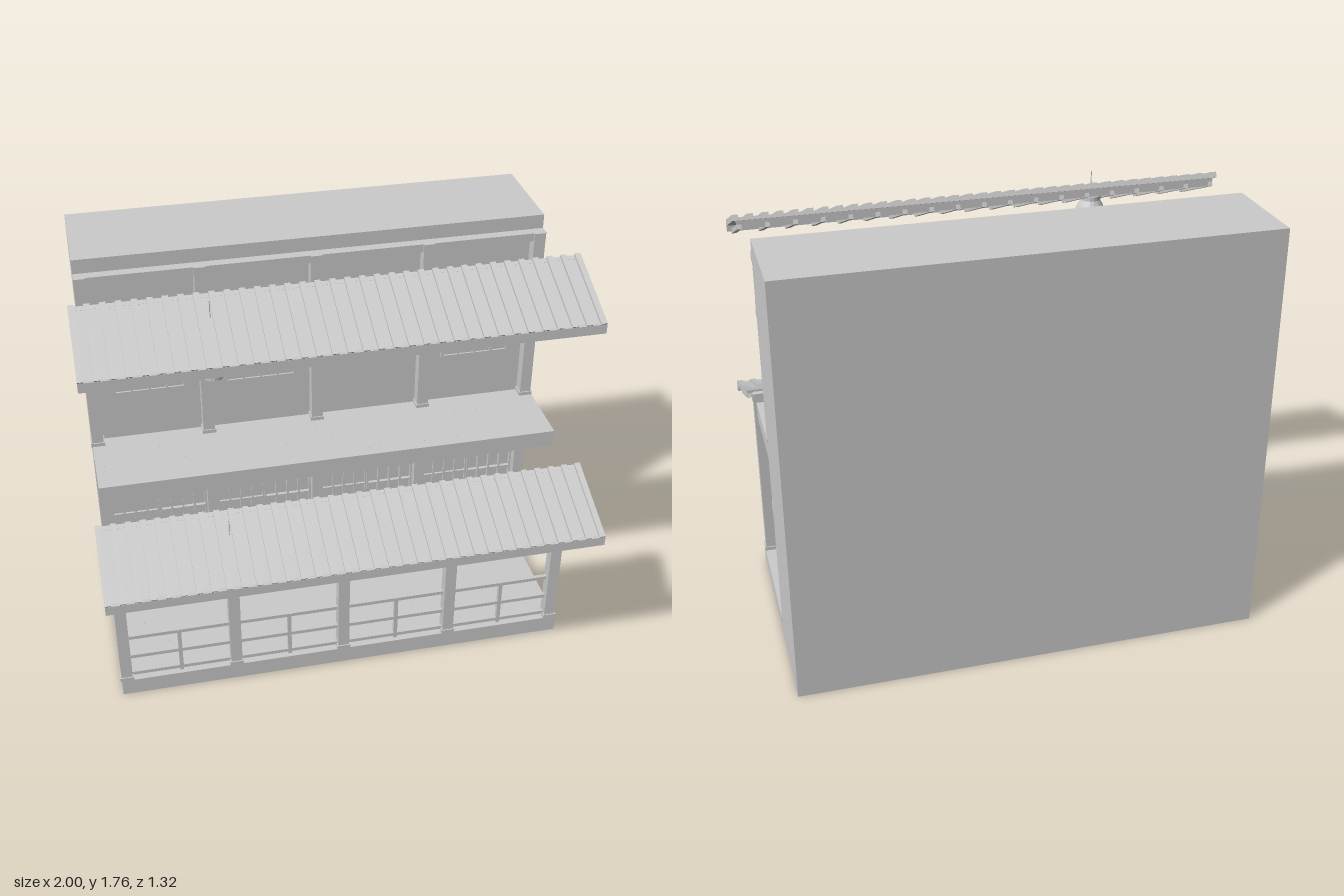
import * as THREE from 'three';
import { mergeGeometries } from 'three/addons/utils/BufferGeometryUtils.js';

const mat = new THREE.MeshStandardMaterial({ color: 0xcccccc, flatShading: true });

// Box given by its extents on each axis
function box(x0, x1, y0, y1, z0, z1) {
  return new THREE.BoxGeometry(x1 - x0, y1 - y0, z1 - z0)
    .translate((x0 + x1) / 2, (y0 + y1) / 2, (z0 + z1) / 2);
}

function part(parent, name, geos) {
  const mesh = new THREE.Mesh(mergeGeometries(geos), mat);
  mesh.name = name;
  parent.add(mesh);
  return mesh;
}

const HALF = 0.965, WALL = -0.24;
const POSTS = [-0.942, -0.472, -0.003, 0.466, 0.937];
const BAYS = [0, 1, 2, 3].map(i => [POSTS[i] + 0.025, POSTS[i + 1] - 0.025]);

// Grid of thin bars inside a rectangle on the wall
function lattice(x0, x1, y0, y1, cols, rows, t, depth) {
  const out = [];
  for (let i = 0; i <= cols; i++) {
    const x = x0 + t / 2 + (x1 - x0 - t) * i / cols;
    out.push(box(x - t / 2, x + t / 2, y0, y1, WALL, WALL + depth));
  }
  for (let j = 0; j <= rows; j++) {
    const y = y0 + t / 2 + (y1 - y0 - t) * j / rows;
    out.push(box(x0, x1, y - t / 2, y + t / 2, WALL, WALL + depth * 0.95));
  }
  return out;
}

// Pillars with a wider foot block
function pillars(y0, y1, z0, z1) {
  return POSTS.flatMap(x => [
    box(x - 0.024, x + 0.024, y0, y1, z0, z1),
    box(x - 0.029, x + 0.029, y0 - 0.002, y0 + 0.016, z0 - 0.005, z1 + 0.005),
  ]);
}

// Tiled awning; origin is the middle of the tile surface
function awning(name, y, z) {
  const roof = new THREE.Group();
  roof.name = name;
  roof.position.set(0, y, z);
  const slope = new THREE.Group();
  slope.name = 'slope';
  slope.rotation.x = Math.atan2(0.135, 0.33);
  roof.add(slope);
  const L = 0.178;
  part(slope, 'roofDeck', [box(-1, 1, -0.024, -0.011, -L, L)]);
  const ribs = [];
  for (let i = 0; i < 35; i++) {
    const x = -0.988 + 1.976 * i / 34;
    ribs.push(box(x - 0.012, x + 0.012, -0.012, 0, -L, L));
  }
  part(slope, 'tileRibs', ribs);
  const rafters = [];
  for (let i = 0; i < 19; i++) {
    const x = -0.975 + 1.95 * i / 18;
    rafters.push(box(x - 0.009, x + 0.009, -0.057, -0.038, -0.165, 0.155));
  }
  part(slope, 'rafters', rafters);
  part(roof, 'fascia', [box(-1, 1, -0.112, -0.072, 0.148, 0.164)]);
  part(roof, 'backBeam', [box(-0.985, 0.985, 0.008, 0.05, -0.166, -0.15)]);
  return roof;
}

// Faceted paper lantern; origin is its lower end
function lantern(name, y, z) {
  const g = new THREE.Group();
  g.name = name;
  g.position.set(-0.487, y, z);
  const profile = [[0, 0.018], [0.04, 0.022]];
  for (let i = 1; i < 8; i++) {
    const a = -1 + 2 * i / 8;
    profile.push([0.037 + 0.034 * (1 - a * a), 0.115 + a * 0.09]);
  }
  profile.push([0.038, 0.207], [0, 0.21]);
  part(g, 'paperShade', [new THREE.LatheGeometry(profile.map(p => new THREE.Vector2(...p)), 16)]);
  part(g, 'endRings', [
    new THREE.CylinderGeometry(0.042, 0.042, 0.022, 16).translate(0, 0.011, 0),
    new THREE.CylinderGeometry(0.041, 0.041, 0.018, 16).translate(0, 0.214, 0),
  ]);
  part(g, 'hangingCord', [new THREE.CylinderGeometry(0.002, 0.002, 0.11, 6).translate(0, 0.268, 0)]);
  return g;
}

// Rows of small nail heads on a floor
function nails(y, z0, z1, rows) {
  const out = [];
  for (let r = 0; r < rows; r++)
    for (let i = 0; i < 40; i++) {
      const x = -0.93 + 1.86 * i / 39, z = z0 + (z1 - z0) * r / (rows - 1);
      out.push(box(x - 0.002, x + 0.002, y, y + 0.001, z - 0.002, z + 0.002));
    }
  return out;
}

export function createModel() {
  const house = new THREE.Group();
  house.name = 'townhouse';

  // Main masses
  part(house, 'building', [box(-HALF, HALF, 0, 1.76, -0.66, WALL)]);
  part(house, 'porchFloor', [box(-HALF, HALF, 0, 0.075, WALL, 0.352)]);
  part(house, 'balconyFloor', [box(-HALF, HALF, 0.845, 0.917, WALL, 0.112)]);
  part(house, 'porchNails', nails(0.075, -0.12, 0.27, 4));
  part(house, 'balconyNails', nails(0.917, -0.13, 0.06, 3));

  // Pillars and horizontal beams
  part(house, 'lowerWallPosts', pillars(0.075, 0.845, WALL, -0.19));
  part(house, 'upperWallPosts', pillars(0.917, 1.7, WALL, -0.19));
  part(house, 'porchPosts', pillars(0.075, 0.862, 0.3, 0.348));
  part(house, 'porchBeam', [box(-HALF, HALF, 0.825, 0.858, 0.308, 0.34)]);
  part(house, 'wallBeams', [
    box(-HALF, HALF, 0.6, 0.632, WALL, -0.21),
    box(-HALF, HALF, 1.445, 1.477, WALL, -0.21),
    box(-HALF, HALF, 1.49, 1.52, WALL, -0.222),
    box(-HALF, HALF, 1.665, 1.7, WALL, -0.198),
  ]);

  // Porch railing, one section per bay
  const rail = [];
  for (const [a, b] of BAYS) {
    const c = (a + b) / 2;
    for (const y of [0.093, 0.188, 0.293]) rail.push(box(a, b, y - 0.008, y + 0.008, 0.316, 0.332));
    rail.push(box(c - 0.008, c + 0.008, 0.075, 0.3, 0.315, 0.333));
  }
  part(house, 'porchRailing', rail);

  // Sliding doors and slatted transoms on the lower floor
  BAYS.forEach(([a, b]) => {
    const c = (a + b) / 2;
    part(house, 'slidingDoors', [
      ...lattice(a, c, 0.075, 0.6, 4, 6, 0.008, 0.01),
      ...lattice(c, b, 0.075, 0.6, 4, 6, 0.008, 0.016),
    ]);
    part(house, 'transomSlats', lattice(a, b, 0.632, 0.845, 18, 1, 0.009, 0.016));
  });

  // Upper windows
  for (const [a, b] of [[-0.855, -0.555], [-0.385, -0.09], [0.55, 0.85]]) {
    part(house, 'window', [
      box(a, b, 1.135, 1.4, WALL, WALL + 0.006),
      ...lattice(a, b, 1.135, 1.4, 4, 3, 0.008, 0.014),
    ]);
  }

  // Awnings and lanterns
  house.add(awning('upperAwning', 1.675, 0.25), awning('lowerAwning', 0.83, 0.491));
  house.add(lantern('upperLantern', 1.433, 0.188), lantern('lowerLantern', 0.59, 0.427));
  return house;
}
